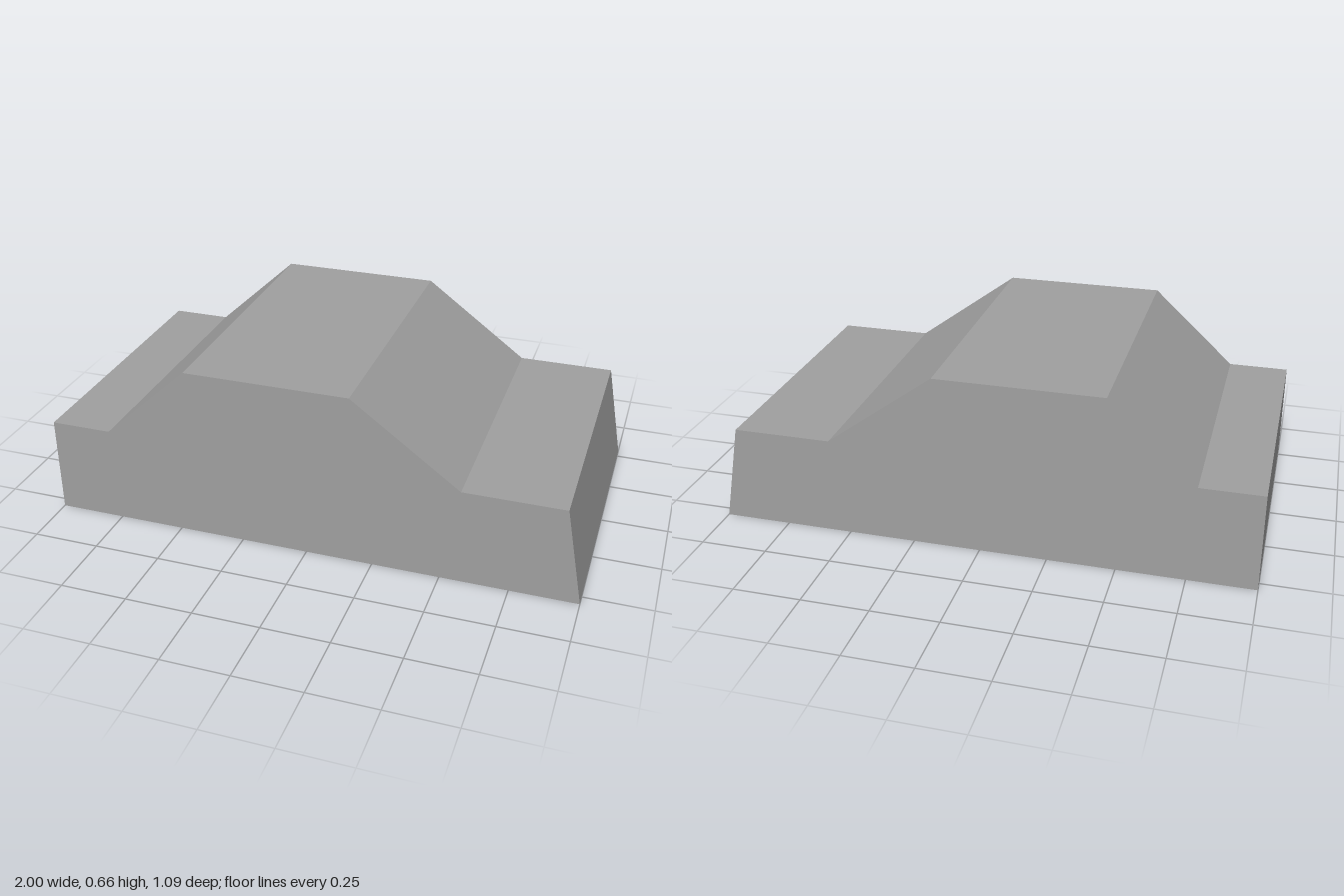
import * as THREE from 'three';

export function createModel() {
  const model = new THREE.Group();
  model.name = 'carBodyShell';
  const bodyGrey = new THREE.MeshStandardMaterial({ color: 0xa0a0a0, side: THREE.DoubleSide });
  bodyGrey.name = 'bodyGrey';

  const halfWidth = 0.543;

  // Side profile from the bottom of the tail, over the roof, to the bottom of the nose
  const profile = [
    [-1, 0], [-1, 0.37], [-0.77, 0.37], [-0.45, 0.664],
    [0.165, 0.664], [0.565, 0.37], [0.932, 0.37], [1, 0],
  ].map(([x, y]) => new THREE.Vector2(x, y));

  const add = (name, geometry) => {
    const mesh = new THREE.Mesh(geometry, bodyGrey);
    mesh.name = name;
    model.add(mesh);
    return mesh;
  };

  // One flat panel across the width for each profile segment; the underside stays open
  const panels = ['tailPanel', 'trunkLid', 'rearWindow', 'roof', 'windshield', 'hood', 'nosePanel'];
  panels.forEach((name, i) => {
    const a = profile[i], b = profile[i + 1];
    const geometry = new THREE.PlaneGeometry(a.distanceTo(b), 2 * halfWidth).rotateX(-Math.PI / 2);
    const panel = add(name, geometry);
    panel.position.set((a.x + b.x) / 2, (a.y + b.y) / 2, 0);
    panel.rotation.z = Math.atan2(b.y - a.y, b.x - a.x);
  });

  // Side walls, the back one turned to face outwards
  const shape = new THREE.Shape(profile);
  add('frontSide', new THREE.ShapeGeometry(shape)).position.z = halfWidth;
  const mirrored = new THREE.Shape(profile.map((p) => new THREE.Vector2(-p.x, p.y)));
  const back = add('backSide', new THREE.ShapeGeometry(mirrored));
  back.position.z = -halfWidth;
  back.rotation.y = Math.PI;

  return model;
}
